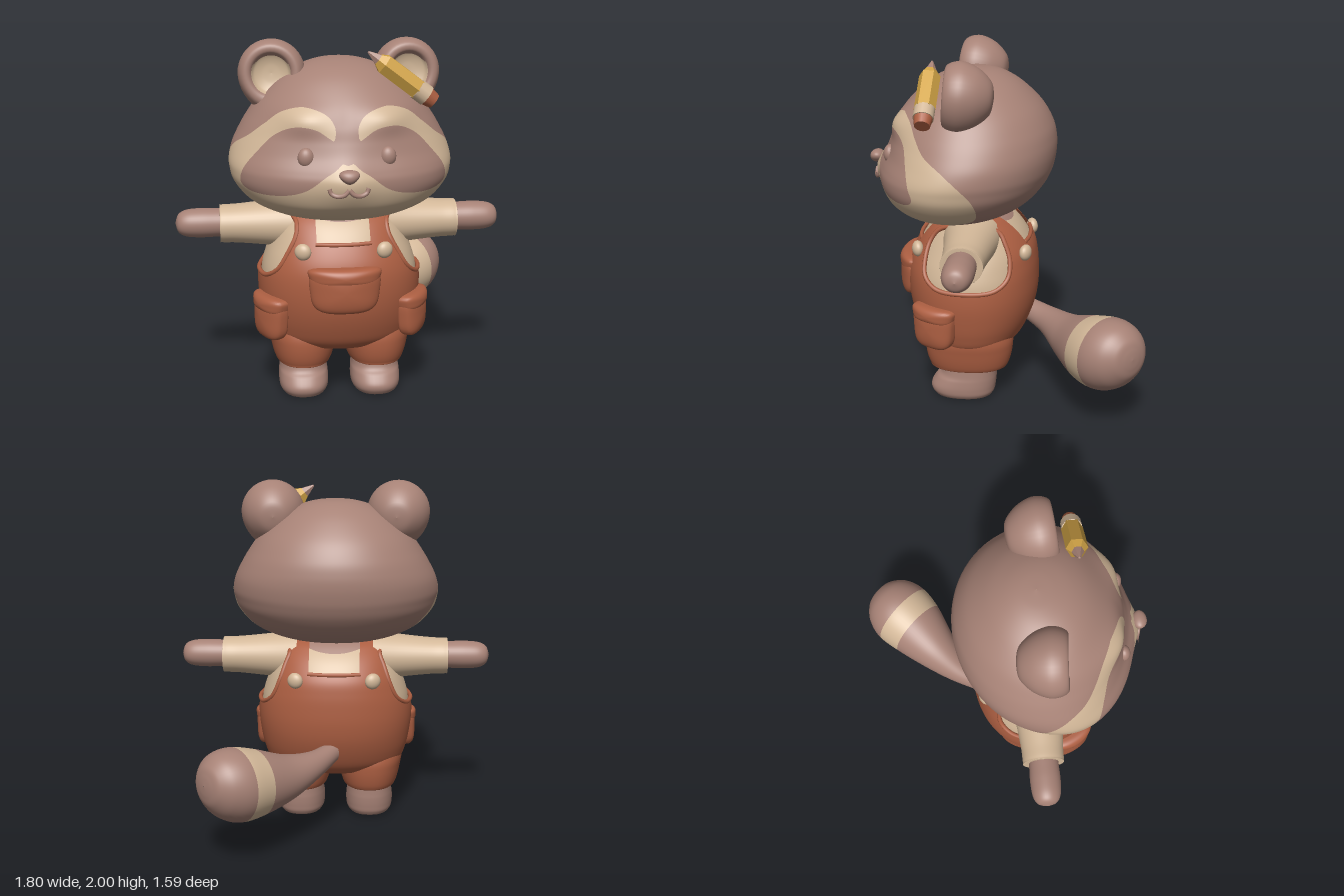
import * as THREE from 'three';
import { mergeVertices } from 'three/addons/utils/BufferGeometryUtils.js';

const mat = (name, color, side = THREE.FrontSide) =>
  Object.assign(new THREE.MeshStandardMaterial({ color, side }), { name });
const V = (x, y, z) => new THREE.Vector3(x, y, z);

// Catmull-Rom interpolation through rows of numbers, t in 0..1
function track(rows, t) {
  const f = t * (rows.length - 1), i = Math.min(Math.floor(f), rows.length - 2), u = f - i;
  const a = rows[Math.max(i - 1, 0)], b = rows[i], c = rows[i + 1], d = rows[Math.min(i + 2, rows.length - 1)];
  return b.map((_, k) => b[k] + 0.5 * u * (c[k] - a[k] + u * (2 * a[k] - 5 * b[k] + 4 * c[k] - d[k]
    + u * (3 * (b[k] - c[k]) + d[k] - a[k]))));
}

// Skin of rings: point(row, angle) gives the position
function loft(rows, nv, nu, point) {
  const pos = [], idx = [];
  for (let j = 0; j <= nv; j++) {
    const row = track(rows, j / nv);
    for (let i = 0; i < nu; i++) pos.push(...point(row, (i / nu) * Math.PI * 2));
  }
  for (let j = 0; j < nv; j++) for (let i = 0; i < nu; i++) {
    const a = j * nu + i, b = j * nu + (i + 1) % nu;
    idx.push(a, b, b + nu, a, b + nu, a + nu);
  }
  const g = new THREE.BufferGeometry();
  g.setAttribute('position', new THREE.Float32BufferAttribute(pos, 3));
  g.setIndex(idx);
  g.computeVertexNormals();
  return g;
}

// Cut a geometry along f = 0; returns [f > 0 part, f < 0 part]
function split(geo, f) {
  const P = geo.attributes.position, N = geo.attributes.normal, ix = geo.index.array;
  const vs = Array.from({ length: P.count }, (_, i) => {
    const p = V().fromBufferAttribute(P, i);
    return { p, n: V().fromBufferAttribute(N, i), f: f(p.x, p.y, p.z) };
  });
  return [1, -1].map((s) => {
    const pos = [], nor = [];
    for (let i = 0; i < ix.length; i += 3) {
      const poly = [];
      for (let k = 0; k < 3; k++) {
        const a = vs[ix[i + k]], b = vs[ix[i + (k + 1) % 3]];
        if (a.f * s >= 0) poly.push(a);
        if (a.f * b.f < 0) {
          const t = a.f / (a.f - b.f);
          poly.push({ p: a.p.clone().lerp(b.p, t), n: a.n.clone().lerp(b.n, t).normalize() });
        }
      }
      for (let k = 1; k + 1 < poly.length; k++) for (const v of [poly[0], poly[k], poly[k + 1]]) {
        pos.push(...v.p); nor.push(...v.n);
      }
    }
    const g = new THREE.BufferGeometry();
    g.setAttribute('position', new THREE.Float32BufferAttribute(pos, 3));
    g.setAttribute('normal', new THREE.Float32BufferAttribute(nor, 3));
    return g;
  });
}

// Signed distance to a smooth closed outline, positive inside
function region(pts) {
  const c = new THREE.CatmullRomCurve3(pts.map(([x, y]) => V(x, y, 0)), true, 'centripetal').getPoints(70);
  return (x, y) => {
    let d = 9, inside = false;
    for (let i = 0; i + 1 < c.length; i++) {
      const a = c[i], b = c[i + 1], dx = b.x - a.x, dy = b.y - a.y;
      const t = THREE.MathUtils.clamp(((x - a.x) * dx + (y - a.y) * dy) / (dx * dx + dy * dy + 1e-12), 0, 1);
      d = Math.min(d, Math.hypot(x - a.x - t * dx, y - a.y - t * dy));
      if ((a.y > y) !== (b.y > y) && x < a.x + ((y - a.y) / dy) * dx) inside = !inside;
    }
    return inside ? d : -d;
  };
}

const pw = (v, p) => Math.sign(v) * Math.abs(v) ** p;
const bell = (v, r) => Math.exp(-((v / r) ** 2));
const oval = (cx, p = 1, off = 0) => ([y, w, zb, zf], a) => [cx + (w + off) * pw(Math.sin(a), p), y,
  (zb + zf) / 2 + ((zf - zb) / 2 + off) * pw(Math.cos(a), p)];
const lathe = (pts) => new THREE.LatheGeometry(
  new THREE.SplineCurve(pts.map((p) => new THREE.Vector2(...p))).getPoints(40), 40);
const tube = (pts, r) => new THREE.TubeGeometry(new THREE.CatmullRomCurve3(pts), 48, r, 8);

// Move vertices by a rule and smooth the result
function reshape(g, rule) {
  const p = g.attributes.position;
  for (let i = 0; i < p.count; i++) p.setXYZ(i, ...rule(p.getX(i), p.getY(i), p.getZ(i)));
  g.deleteAttribute('uv'); g.deleteAttribute('normal');
  const m = mergeVertices(g, 1e-4);
  m.computeVertexNormals();
  return m;
}

// Padded pocket: a sphere squared off in outline, tapered and bent round the body
const pillow = (w, h, d, bend) => reshape(new THREE.SphereGeometry(1, 48, 28).rotateX(Math.PI / 2), (x, y, z) => {
  const k = Math.hypot(x, y) / ((x ** 4 + y ** 4) ** 0.25 + 1e-9), X = x * k * w * (1 + 0.08 * y);
  return [X, y * k * h, d * pw(z, 0.6) - bend * X * X];
});

export function createModel() {
  const fur = mat('brown fur', 0xa78276), cream = mat('cream', 0xd2b798, THREE.DoubleSide);
  const cloth = mat('rust cloth', 0xad5f42, THREE.DoubleSide), yellow = mat('yellow paint', 0xd2a446);
  const root = new THREE.Group();
  const add = (name, geo, m, x = 0, y = 0, z = 0) => {
    const mesh = new THREE.Mesh(geo, m);
    mesh.name = name; mesh.position.set(x, y, z);
    root.add(mesh);
    return mesh;
  };

  // Head: rows of height, half width, back z, front z, with a muzzle and brow swellings
  const headRows = [[1.055, 0.001, 0.27, 0.272], [1.06, 0.17, 0.14, 0.42], [1.08, 0.3, 0.05, 0.52], [1.11, 0.39, -0.03, 0.59],
    [1.15, 0.47, -0.1, 0.65], [1.2, 0.53, -0.16, 0.7], [1.27, 0.58, -0.215, 0.74], [1.33, 0.597, -0.245, 0.75],
    [1.38, 0.6, -0.26, 0.73], [1.45, 0.583, -0.27, 0.685], [1.52, 0.55, -0.268, 0.655], [1.6, 0.503, -0.248, 0.625],
    [1.7, 0.43, -0.19, 0.565], [1.8, 0.32, -0.09, 0.465], [1.86, 0.21, 0.0, 0.37], [1.89, 0.11, 0.08, 0.27], [1.9, 0.001, 0.17, 0.172]];
  const head = loft(headRows, 120, 144, ([y, w, zb, zf], a) => {
    const s = Math.sin(a), c = Math.cos(a), zc = zb + 0.53 * (zf - zb), x = w * s;
    const k = 0.07 * bell(y - 1.32, 0.14);
    if (c < 0) return [x, y, zc + c * (zc - zb)];
    const brow = 0.045 * c * bell(Math.abs(x) - 0.24, 0.13) * bell(y - 1.64, 0.07);
    return [x, y, zc + (zf - zc) * (c * (1 - k) + k * bell(s, 0.2)) + brow];
  });
  // Face markings: pale mask seen from the side, less the eye patches and brow stripe
  const mask = region([[0.9, 1.72], [0.58, 1.71], [0.5, 1.67], [0.45, 1.59], [0.4, 1.525], [0.3, 1.46], [0.2, 1.375],
    [0.14, 1.3], [0.12, 1.22], [0.14, 1.16], [0.3, 1.09], [0.45, 1.0], [0.9, 1.0]]);
  const patch = region([[0.02, 1.5], [0.08, 1.54], [0.16, 1.59], [0.26, 1.6], [0.36, 1.555], [0.45, 1.465], [0.53, 1.36],
    [0.54, 1.29], [0.5, 1.255], [0.35, 1.25], [0.22, 1.285], [0.12, 1.36], [0.04, 1.42]]);
  const stripe = region([[-0.1, 1.41], [0, 1.42], [0.04, 1.44], [0.06, 1.52], [0.06, 1.6], [0.09, 1.65], [0.16, 1.685],
    [0.26, 1.695], [0.34, 1.67], [0.42, 1.6], [0.47, 1.9], [-0.1, 1.9]]);
  const [face, skull] = split(head, (x, y, z) => {
    const ax = Math.abs(x);
    return Math.min(mask(z, y), -patch(ax, y), -stripe(ax, y));
  });
  add('faceMarkings', face, cream);
  add('head', skull, fur);
  add('nose', reshape(new THREE.SphereGeometry(1, 32, 20), (x, y, z) => [x * 0.05 * (1 + 0.35 * y), y * 0.037, z * 0.042]),
    fur, 0, 1.373, 0.75);
  for (const s of [-1, 1]) {
    add('eye', new THREE.SphereGeometry(1, 24, 16).scale(0.043, 0.052, 0.035), fur, s * 0.21, 1.45, 0.633);
    add('mouth', tube([V(0, 1.305, 0.752), V(s * 0.025, 1.28, 0.752), V(s * 0.06, 1.272, 0.742),
      V(s * 0.09, 1.285, 0.733), V(s * 0.1, 1.31, 0.73)], 0.012), fur);
    // Ears: rounded cup drawn out downwards, with a pale hollow
    const ear = reshape(lathe([[0.001, -0.16], [0.08, -0.145], [0.145, -0.08], [0.178, 0], [0.174, 0.06], [0.15, 0.1],
      [0.115, 0.1], [0.092, 0.065]]).rotateX(Math.PI / 2), (x, y, z) => [x, y < 0 ? y * (1 + 0.9 * -y) : y, z]);
    add('ear', ear, fur, s * 0.36, 1.82, 0.2).rotation.set(-0.08, s * 0.08, 0);
    add('innerEar', lathe([[0.104, 0.09], [0.088, 0.07], [0.05, 0.055], [0.001, 0.05]]).rotateX(Math.PI / 2).scale(1, 1.08, 1),
      cream, s * 0.36, 1.82, 0.2).rotation.set(-0.08, s * 0.08, 0);
  }

  // Torso: shirt and neck under a slightly larger overall skin
  const bodyRows = [[0.285, 0.001, 0.2, 0.202], [0.29, 0.16, 0.08, 0.33], [0.31, 0.28, 0.0, 0.41], [0.36, 0.37, -0.06, 0.468],
    [0.44, 0.405, -0.105, 0.508], [0.54, 0.425, -0.14, 0.54], [0.64, 0.435, -0.155, 0.555], [0.74, 0.43, -0.155, 0.555],
    [0.82, 0.41, -0.148, 0.54], [0.9, 0.38, -0.13, 0.505], [0.98, 0.345, -0.08, 0.455], [1.04, 0.31, -0.02, 0.4],
    [1.08, 0.26, 0.04, 0.34], [1.1, 0.14, 0.12, 0.26], [1.1, 0.001, 0.19, 0.192]];
  const P = 0.92, OFF = 0.018;
  const torso = (off) => loft(bodyRows, 90, 112, oval(0, P, off));
  const neckline = (x, y) => 1.035 + x * x - y;
  add('shirt', split(torso(0), (x, y) => Math.min(y - 0.6, neckline(x, y)))[0], cream);
  add('neck', split(torso(0), neckline)[1], fur);
  const armhole = [[0.2, 0.725], [0.36, 0.735], [0.43, 0.79], [0.435, 0.88], [0.41, 0.97], [0.36, 1.03], [0.2, 1.07],
    [0.03, 1.03], [-0.01, 0.97], [-0.04, 0.88], [-0.03, 0.79], [0.04, 0.735]];
  const hole = region(armhole);
  add('overalls', split(torso(OFF),
    (x, y, z) => Math.min(-hole(z, y), Math.max(Math.abs(x) - 0.145, 0.935 - y)))[0], cloth);
  // Section of the overall skin at a height
  const ringAt = (y) => {
    let a = 0, b = 0.93;
    for (let i = 0; i < 30; i++) { const m = (a + b) / 2; if (track(bodyRows, m)[0] < y) a = m; else b = m; }
    const [, w, zb, zf] = track(bodyRows, a);
    return { w: w + OFF, zc: (zb + zf) / 2, d: (zf - zb) / 2 + OFF };
  };
  const other = (size, v, r) => size * Math.sqrt(Math.max(0, 1 - Math.min(1, Math.abs(v) / r) ** (2 / P))) ** P;
  for (const s of [-1, 1]) {
    // Rolled hems of the armholes
    const rim = armhole.map(([z, y]) => { const q = ringAt(y); return V(s * (other(q.w, z - q.zc, q.d) - 0.004), y, z); });
    add('armholeHem', new THREE.TubeGeometry(new THREE.CatmullRomCurve3(rim, true), 80, 0.013, 8, true), cloth);
    // Bib hem and buttons, front (1) and back (-1)
    const q = ringAt(0.935), b = ringAt(0.9);
    add('bibHem', tube([-0.15, -0.07, 0, 0.07, 0.15].map((x) => V(x, 0.935, q.zc + s * (other(q.d, x, q.w) - 0.004))), 0.012), cloth);
    for (const x of [-0.22, 0.22])
      add('button', new THREE.SphereGeometry(1, 24, 16).scale(0.046, 0.046, 0.032), cream, x, 0.9, b.zc + s * (other(b.d, x, b.w) + 0.015))
        .rotation.y = s * x * 1.8;
    // Trouser legs and feet
    add('trouserLeg', loft([[0.21, 0.1, 0.08, 0.32], [0.2, 0.145, 0.0, 0.42], [0.215, 0.16, -0.02, 0.435], [0.26, 0.174, -0.035, 0.45],
      [0.32, 0.186, -0.045, 0.458], [0.38, 0.195, -0.045, 0.455], [0.46, 0.19, -0.02, 0.43]], 28, 48, oval(s * 0.205, 0.88)), cloth);
    add('foot', loft([[0.005, 0.001, 0.23, 0.232], [0.005, 0.1, 0.1, 0.38], [0.03, 0.132, 0.065, 0.42], [0.07, 0.14, 0.055, 0.43],
      [0.12, 0.138, 0.05, 0.4], [0.16, 0.133, 0.05, 0.365], [0.26, 0.128, 0.05, 0.35]], 36, 48, oval(s * 0.205, 0.85)), fur);
    // Side pockets with flap
    for (const [n, w, h, y, d] of [['sidePocket', 0.13, 0.124, 0.504, 0.06], ['sidePocketFlap', 0.136, 0.048, 0.582, 0.065]])
      add(n, pillow(w, h, d, 1.2), cloth, s * 0.403, y, 0.385).rotation.y = s * 1.08;
    // Sleeve and hand
    const sleeve = lathe([[0.15, 0.22], [0.13, 0.35], [0.117, 0.46], [0.107, 0.57], [0.104, 0.645], [0.094, 0.657], [0.001, 0.65]]);
    add('sleeve', sleeve.rotateZ(-s * Math.PI / 2).scale(1, 1, 1.1), cream, 0, 0.98, 0.18);
    const hand = lathe([[0.076, 0.6], [0.079, 0.68], [0.081, 0.76], [0.074, 0.84], [0.05, 0.885], [0.001, 0.902]]);
    add('hand', hand.rotateZ(-s * Math.PI / 2).scale(1, 1, 1.05), fur, 0, 0.987, 0.18);
  }
  add('bibPocket', pillow(0.19, 0.125, 0.06, 1.1), cloth, 0, 0.7, 0.57);
  add('bibPocketFlap', pillow(0.195, 0.05, 0.065, 1.1), cloth, 0, 0.778, 0.567);

  // Tail: x, y, z, radius, swept away behind to the left, with one pale ring
  const d = V(0.735, 0.05, -0.677).normalize(), n1 = V(0, 1, 0).cross(d).normalize(), n2 = d.clone().cross(n1);
  const tail = loft([[0.01, 0.475, -0.11, 0.06], [0.115, 0.44, -0.25, 0.082], [0.26, 0.415, -0.375, 0.13], [0.42, 0.43, -0.5, 0.187],
    [0.525, 0.45, -0.595, 0.205], [0.6, 0.47, -0.665, 0.175], [0.645, 0.483, -0.71, 0.115], [0.66, 0.487, -0.725, 0.06], [0.665, 0.489, -0.73, 0.001]],
  72, 56, ([x, y, z, r], a) => V(x, y, z).addScaledVector(n1, r * Math.cos(a)).addScaledVector(n2, r * Math.sin(a)));
  const mid = V(0.47, 0.44, -0.54);
  const [ring, tailFur] = split(tail, (x, y, z) => 0.065 - Math.abs(V(x, y, z).sub(mid).dot(d)));
  add('tailRing', ring, cream);
  add('tail', tailFur, fur);

  // Pencil tucked by the ear: six-sided, from eraser to tip
  const pencil = new THREE.Group();
  pencil.name = 'pencil';
  for (const [n, r0, r1, y0, y1, m, sides] of [['eraser', 0.042, 0.052, 0, 0.055, cloth, 16], ['ferrule', 0.056, 0.056, 0.05, 0.115, cream, 16],
    ['pencilBody', 0.058, 0.058, 0.11, 0.335, yellow, 6], ['pencilShoulder', 0.058, 0.033, 0.335, 0.375, yellow, 6],
    ['pencilTip', 0.033, 0.006, 0.375, 0.44, fur, 6]]) {
    let g = new THREE.CylinderGeometry(r1, r0, y1 - y0, sides);
    if (sides === 6) { g = g.toNonIndexed(); g.computeVertexNormals(); }
    const part = new THREE.Mesh(g, m);
    part.name = n; part.position.y = (y0 + y1) / 2;
    pencil.add(part);
  }
  pencil.position.set(0.485, 1.685, 0.4);
  pencil.rotation.z = Math.atan2(0.35, 0.265);
  root.add(pencil);
  return root;
}
